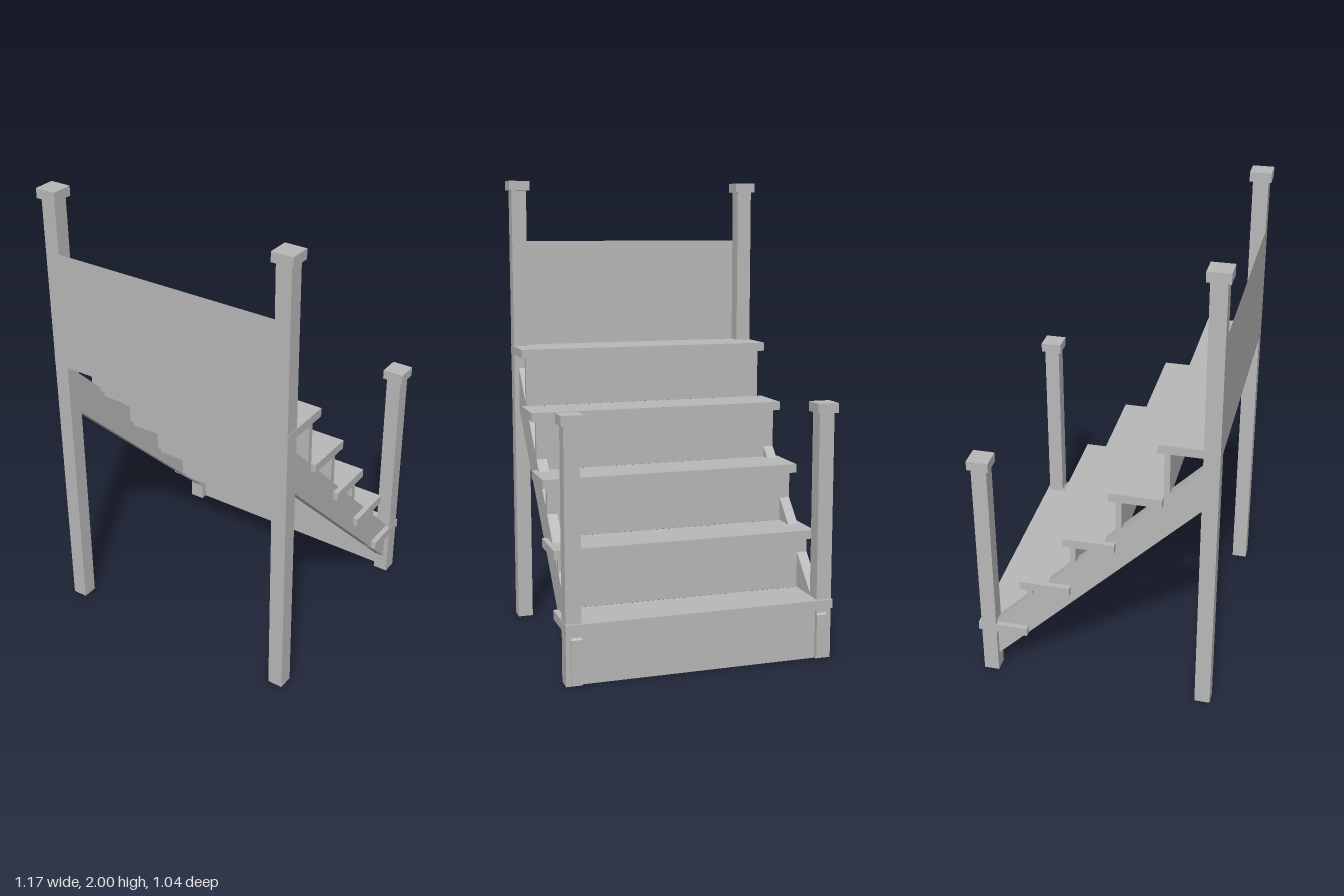
import * as THREE from 'three';

export function createModel() {
  const group = new THREE.Group();
  group.name = 'staircase';
  const grey = new THREE.MeshStandardMaterial({ color: 0xb8b8b8 });
  grey.name = 'plain grey';

  const add = (name, geometry, material = grey) => {
    const mesh = new THREE.Mesh(geometry, material);
    mesh.name = name;
    group.add(mesh);
    return mesh;
  };
  // Box given by its lower and upper limits on each axis
  const box = (name, x0, x1, y0, y1, z0, z1) =>
    add(name, new THREE.BoxGeometry(x1 - x0, y1 - y0, z1 - z0))
      .position.set((x0 + x1) / 2, (y0 + y1) / 2, (z0 + z1) / 2);

  // Treads and risers, climbing towards the front
  const rise = 0.2525, run = 0.195, thick = 0.038;
  for (let i = 0; i < 5; i++) {
    const nose = -0.519 + i * run;
    const top = 0.255 + i * rise;
    const back = i === 4 ? 0.505 : nose + 0.218;
    box('tread', -0.573, 0.573, top - thick, top, nose, back);
    const bottom = i === 0 ? 0 : top - rise;
    const half = i === 0 ? 0.52 : 0.55;
    box('riser', -half, half, bottom, top - thick, nose + 0.024, nose + 0.048);
  }

  // Sloping side boards: profile drawn as (z, y), extruded along x
  const profile = new THREE.Shape([
    new THREE.Vector2(-0.514, 0.005), new THREE.Vector2(0.48, 1.01),
    new THREE.Vector2(0.48, 1.205), new THREE.Vector2(-0.514, 0.19),
  ]);
  const board = new THREE.ExtrudeGeometry(profile, { depth: 0.045, bevelEnabled: false });
  board.rotateY(-Math.PI / 2); // (z, y, depth) becomes (-depth, y, z)

  for (const side of [-1, 1]) {
    add('stringer', board).position.x = side > 0 ? 0.55 : -0.505;

    // Posts with square caps: tall at the front, short at the back
    for (const [name, z, height] of [['tallPost', 0.473, 2], ['shortPost', -0.473, 1.085]]) {
      const x = side * 0.538;
      box(name, x - 0.033, x + 0.033, 0, height - 0.04, z - 0.033, z + 0.033);
      box(name + 'Cap', x - 0.046, x + 0.046, height - 0.041, height, z - 0.046, z + 0.046);
    }
  }

  // Thin panel closing the top of the flight
  const sheet = new THREE.MeshStandardMaterial({ color: 0xb8b8b8, side: THREE.DoubleSide });
  sheet.name = 'plain grey sheet';
  add('topPanel', new THREE.PlaneGeometry(1.01, 0.515), sheet).position.set(0, 1.4775, 0.506);

  return group;
}
